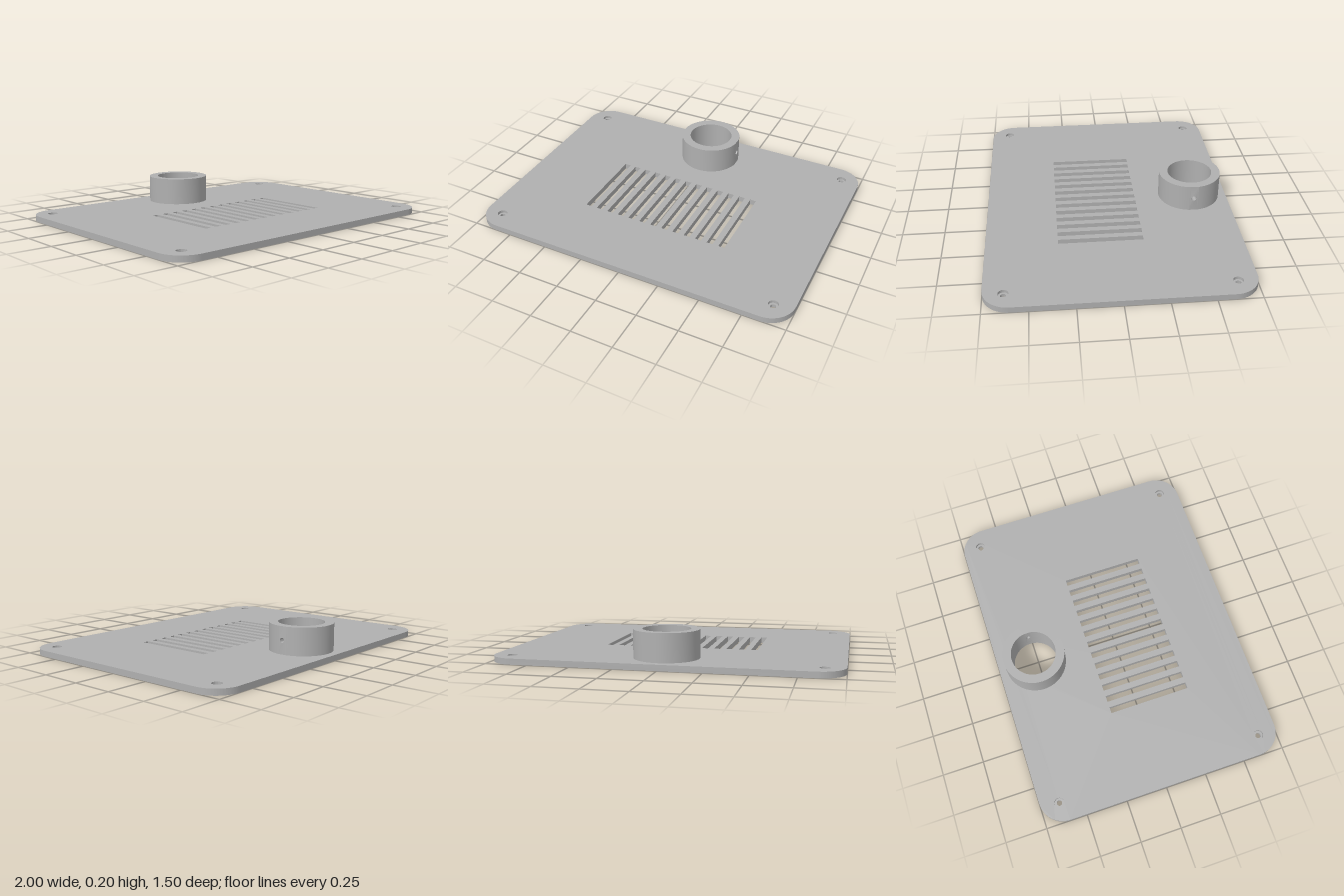
import * as THREE from 'three';
import { toCreasedNormals } from 'three/addons/utils/BufferGeometryUtils.js';

const W = 1, D = 0.75, CORNER = 0.15, THICK = 0.035;
const COLLAR_Z = -0.515, R_OUT = 0.19, R_IN = 0.137, COLLAR_TOP = 0.2;
const SCREW_X = 0.885, SCREW_Z = 0.635, SCREW_R = 0.016, BORE_R = 0.029, BORE_FLOOR = 0.018;

const circle = (x, y, r) => new THREE.Path().absarc(x, y, r, 0, Math.PI * 2, true);

function rectangle(path, x0, y0, x1, y1) {
  return path.moveTo(x0, y0).lineTo(x1, y0).lineTo(x1, y1).lineTo(x0, y1).closePath();
}

function lathe(profile, segments, start = 0, length = Math.PI * 2) {
  const points = profile.map(([r, y]) => new THREE.Vector2(r, y));
  return toCreasedNormals(new THREE.LatheGeometry(points, segments, start, length), 0.6);
}

export function createModel() {
  const model = new THREE.Group();
  model.name = 'ventedCoverPlate';
  const grey = new THREE.MeshStandardMaterial({ color: 0xb0b0b0 });
  grey.name = 'grey';
  const add = (name, geometry, x = 0, y = 0, z = 0) => {
    const mesh = new THREE.Mesh(geometry, grey);
    mesh.name = name;
    mesh.position.set(x, y, z);
    model.add(mesh);
  };

  // Rounded plate outline, drawn with shape y = -z
  const outline = new THREE.Shape();
  const cx = W - CORNER, cy = D - CORNER, q = Math.PI / 2;
  [[cx, cy], [-cx, cy], [-cx, -cy], [cx, -cy]].forEach(([x, y], i) =>
    outline.absarc(x, y, CORNER, i * q, (i + 1) * q, false));
  outline.closePath();

  // Collar opening, vent slots and screw holes
  outline.holes.push(circle(0, -COLLAR_Z, R_IN));
  for (let i = -6; i <= 6; i++) {
    const x = i * 0.075;
    outline.holes.push(rectangle(new THREE.Path(), x - 0.019, -0.33, x + 0.019, 0.17));
  }
  for (const sx of [-1, 1]) for (const sz of [-1, 1]) {
    outline.holes.push(circle(sx * SCREW_X, sz * SCREW_Z, BORE_R));
  }
  const plate = new THREE.ExtrudeGeometry(outline, { depth: THICK, bevelEnabled: false, curveSegments: 32 });
  plate.rotateX(-Math.PI / 2);
  add('plate', toCreasedNormals(plate, 0.6));

  // Recessed floors of the stepped screw holes
  const seat = lathe([[SCREW_R, 0], [BORE_R, 0], [BORE_R, BORE_FLOOR], [SCREW_R, BORE_FLOOR], [SCREW_R, 0]], 32);
  for (const sx of [-1, 1]) for (const sz of [-1, 1]) {
    add('screwHoleSeat', seat, sx * SCREW_X, 0, sz * SCREW_Z);
  }

  // Collar ring, leaving a narrow sector on the +x side for the set screw hole
  const a = 0.14;
  add('collar', lathe([[R_OUT, THICK], [R_OUT, COLLAR_TOP], [R_IN, COLLAR_TOP], [R_IN, THICK]],
    72, Math.PI / 2 + a, Math.PI * 2 - 2 * a), 0, 0, COLLAR_Z);

  // Drilled sector: a flat panel in (angle, height), bent round the collar axis
  const panel = rectangle(new THREE.Shape(), -a, THICK, a, COLLAR_TOP);
  panel.holes.push(new THREE.Path().absellipse(0, 0.118, 0.015 / R_OUT, 0.015, 0, Math.PI * 2, true, 0));
  const sector = new THREE.ExtrudeGeometry(panel, { depth: 1, bevelEnabled: false, curveSegments: 12 });
  const p = sector.attributes.position;
  for (let i = 0; i < p.count; i++) {
    const r = R_IN + p.getZ(i) * (R_OUT - R_IN), angle = p.getX(i);
    p.setXYZ(i, r * Math.cos(angle), p.getY(i), -r * Math.sin(angle));
  }
  add('collarSetScrewSector', toCreasedNormals(sector, 0.6), 0, 0, COLLAR_Z);

  return model;
}
